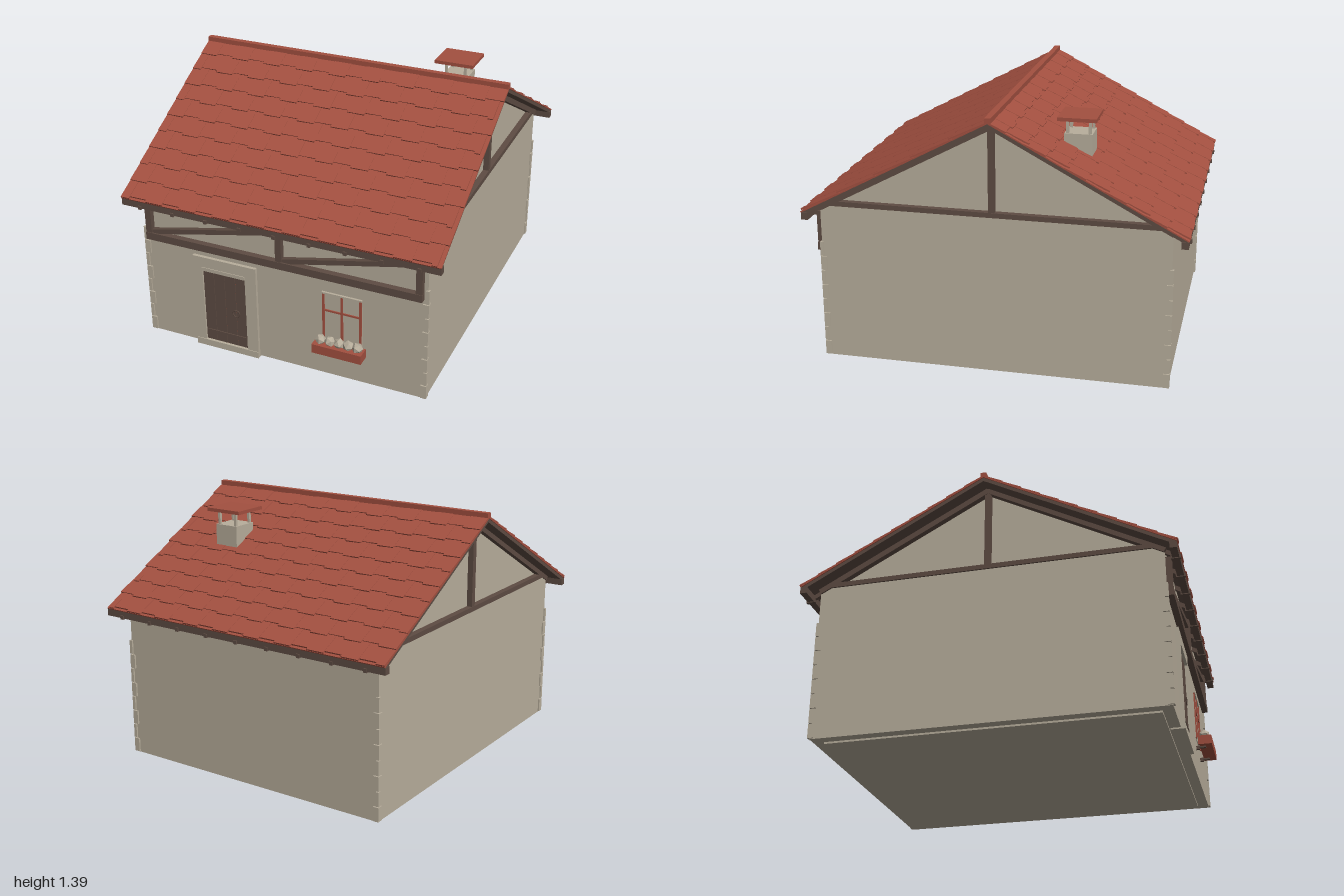
import * as THREE from 'three';
import { mergeGeometries } from 'three/addons/utils/BufferGeometryUtils.js';

const mat = (name, color) => {
  const m = new THREE.MeshStandardMaterial({ color });
  m.name = name;
  return m;
};

export function createModel() {
  const plaster = mat('plaster', 0xb8ae9c);
  const timber = mat('timber', 0x5e4c43);
  const clay = mat('clay red', 0xa35040);

  const house = new THREE.Group();
  house.name = 'house';

  const add = (name, geo, material, parent = house) => {
    const mesh = new THREE.Mesh(geo, material);
    mesh.name = name;
    parent.add(mesh);
    return mesh;
  };
  // Box given by its minimum and maximum on each axis
  const box = (name, x0, x1, y0, y1, z0, z1, material, parent) => {
    const mesh = add(name, new THREE.BoxGeometry(x1 - x0, y1 - y0, z1 - z0), material, parent);
    mesh.position.set((x0 + x1) / 2, (y0 + y1) / 2, (z0 + z1) / 2);
    return mesh;
  };
  const rect = (x0, x1, y0, y1, Kind) => {
    const p = new Kind();
    p.moveTo(x0, y0);
    p.lineTo(x1, y0);
    p.lineTo(x1, y1);
    p.lineTo(x0, y1);
    p.closePath();
    return p;
  };

  // Walls and floor
  box('floorBase', -0.74, 0.74, 0, 0.012, -0.855, 0.855, plaster);
  box('walls', -0.795, 0.795, 0.01, 0.86, -0.912, 0.912, plaster);

  // Corner stones, alternately wide and narrow
  for (const sx of [-1, 1]) for (const sz of [-1, 1]) {
    for (let i = 0; i < 8; i++) {
      const w = i % 2 ? 0.018 : 0.032;
      const mesh = add('cornerStone', new THREE.BoxGeometry(w, 0.076, w), plaster);
      mesh.position.set(sx * (0.803 - w / 2), 0.052 + i * 0.081, sz * (0.921 - w / 2));
    }
  }

  // Gables with their timber frames
  const roofZ = -0.005, ridgeY = 1.37, pitch = Math.atan(0.533);
  const gable = new THREE.Shape([
    new THREE.Vector2(-0.9, 0.85), new THREE.Vector2(0.9, 0.85), new THREE.Vector2(0, 1.345),
  ]);
  const gableGeo = new THREE.ExtrudeGeometry(gable, { depth: 1.54, bevelEnabled: false });
  gableGeo.rotateY(-Math.PI / 2).translate(0.77, 0, 0);
  add('gableWalls', gableGeo, plaster);
  for (const s of [-1, 1]) {
    const frame = new THREE.Group();
    frame.name = 'gableFrame';
    box('tieBeam', -0.018, 0.018, 0.86, 0.886, -0.9, 0.9, timber, frame);
    box('kingPost', -0.015, 0.015, 0.88, 1.345, -0.016, 0.016, timber, frame);
    for (const d of [-1, 1]) {
      const rafter = add('gableRafter', new THREE.BoxGeometry(0.036, 0.03, 1.04), timber, frame);
      rafter.position.set(0, 1.338 - 0.25, d * 0.458);
      rafter.rotation.x = d * pitch;
    }
    frame.position.x = s * 0.785;
    house.add(frame);
  }

  // Front half-timbering
  box('frontBeam', -0.775, 0.775, 0.6, 0.642, 0.91, 0.945, timber);
  for (const x of [-0.757, 0, 0.757]) {
    box('frontPost', x - 0.017, x + 0.017, 0.64, 0.815, 0.91, 0.942, timber);
  }
  for (const x of [-0.38, 0.38]) {
    const brace = add('frontBrace', new THREE.BoxGeometry(0.75, 0.027, 0.026), timber);
    brace.position.set(x, 0.724, 0.924);
    brace.rotation.z = 0.212;
  }

  // Roof slopes: boards below, staggered overlapping tiles above
  const roof = new THREE.Group();
  roof.name = 'roof';
  roof.position.z = roofZ;
  house.add(roof);
  const slopeLen = 1.122, rows = 10, cols = 18;
  const pitchRow = slopeLen / rows, tileW = 1.76 / cols;
  for (const d of [-1, 1]) {
    const slope = new THREE.Group();
    slope.name = d > 0 ? 'frontSlope' : 'backSlope';
    slope.position.y = ridgeY;
    slope.rotation.x = d * pitch;
    roof.add(slope);
    const boards = add('roofBoards', new THREE.BoxGeometry(1.75, 0.018, slopeLen - 0.005), timber, slope);
    boards.position.set(0, -0.012, d * slopeLen / 2);
    const tiles = [];
    for (let r = 0; r < rows; r++) {
      const ragged = r % 2 ? 0.02 : 0;
      for (let c = 0; c <= cols; c++) {
        const shift = r % 2 ? tileW / 2 : 0;
        const x0 = Math.max(-0.88, -0.88 + c * tileW - shift);
        const x1 = Math.min(0.88 - ragged, -0.88 + (c + 1) * tileW - shift);
        if (x1 - x0 < 0.01) continue;
        const end = (r + 1) * pitchRow - (c % 2 ? 0.014 : 0);
        const start = Math.max(0, r * pitchRow - 0.02);
        const g = new THREE.BoxGeometry(x1 - x0, 0.008, end - start);
        g.rotateX(-d * 0.05);
        g.translate((x0 + x1) / 2, 0.004 + (c % 2 ? 0 : 0.002), d * (start + end) / 2);
        tiles.push(g);
      }
    }
    const bed = new THREE.BoxGeometry(1.76, 0.006, slopeLen);
    bed.translate(0, 0, d * slopeLen / 2);
    add('roofTiles', mergeGeometries([bed, ...tiles]), clay, slope);

    // Eave beam and rafter ends
    const zc = d * 0.97;
    box('eaveBeam', -0.88, 0.88, 0.803, 0.84, zc - 0.018, zc + 0.018, timber, roof);
    for (let i = -4; i <= 4; i++) {
      const x = i * 0.193;
      box('rafterEnd', x - 0.009, x + 0.009, 0.798, 0.818, zc - 0.025, zc + 0.025, timber, roof);
      const rafter = add('underRafter', new THREE.BoxGeometry(0.018, 0.025, 0.14), timber, slope);
      rafter.position.set(x, -0.032, d * 1.03);
    }
  }
  box('ridgeCap', -0.88, 0.88, 1.368, 1.395, -0.016, 0.016, clay, roof);

  // Chimney with four posts and a cap
  box('chimneyStack', 0.41, 0.55, 1.0, 1.25, -0.465, -0.32, plaster);
  for (const x of [0.425, 0.535]) for (const z of [-0.45, -0.335]) {
    box('chimneyPost', x - 0.007, x + 0.007, 1.25, 1.325, z - 0.007, z + 0.007, plaster);
  }
  box('chimneyCap', 0.37, 0.59, 1.322, 1.341, -0.49, -0.29, clay);

  // Door: stone surround, planks, red joints, crossbar and ring
  const surround = rect(-0.51, -0.14, 0.035, 0.555, THREE.Shape);
  surround.holes.push(rect(-0.455, -0.205, 0.037, 0.475, THREE.Path));
  add('doorSurround', new THREE.ExtrudeGeometry(surround, { depth: 0.025, bevelEnabled: false }), plaster)
    .position.z = 0.905;
  box('doorLintel', -0.455, -0.205, 0.475, 0.495, 0.91, 0.934, plaster);
  box('doorStep', -0.51, -0.14, 0.002, 0.04, 0.86, 0.934, plaster);
  for (let i = 0; i < 4; i++) {
    const x = -0.455 + i * 0.0625;
    box('doorPlank', x, x + 0.06, 0.038, 0.475, 0.905, 0.919, timber);
  }
  box('doorBacking', -0.455, -0.393, 0.038, 0.475, 0.908, 0.915, timber);
  box('doorJoints', -0.393, -0.205, 0.038, 0.475, 0.908, 0.915, clay);
  box('doorCrossbar', -0.445, -0.215, 0.094, 0.106, 0.915, 0.924, timber);
  add('doorRing', new THREE.TorusGeometry(0.02, 0.003, 6, 16), timber).position.set(-0.267, 0.247, 0.924);

  // Window: red bars over a pale opening
  box('windowPane', 0.23, 0.45, 0.235, 0.512, 0.908, 0.915, plaster);
  for (const x of [0.238, 0.34, 0.442]) {
    box('windowUpright', x - 0.006, x + 0.006, 0.235, 0.506, 0.91, 0.922, clay);
  }
  box('windowCrossbar', 0.238, 0.442, 0.4, 0.41, 0.91, 0.921, clay);
  box('windowHead', 0.23, 0.45, 0.504, 0.513, 0.908, 0.924, plaster);

  // Flower box on brackets
  box('flowerBox', 0.205, 0.478, 0.185, 0.236, 0.932, 1.0, clay);
  for (const x of [0.243, 0.438]) {
    box('flowerBracket', x - 0.008, x + 0.008, 0.168, 0.187, 0.91, 0.93, timber);
    box('bracketArm', x - 0.008, x + 0.008, 0.176, 0.188, 0.91, 0.965, timber);
  }
  for (let i = 0; i < 5; i++) {
    const flower = add('flower', new THREE.IcosahedronGeometry(0.03, 0), plaster);
    flower.position.set(0.24 + i * 0.051, 0.25, 0.96);
    flower.rotation.y = i * 0.7;
  }

  return house;
}
